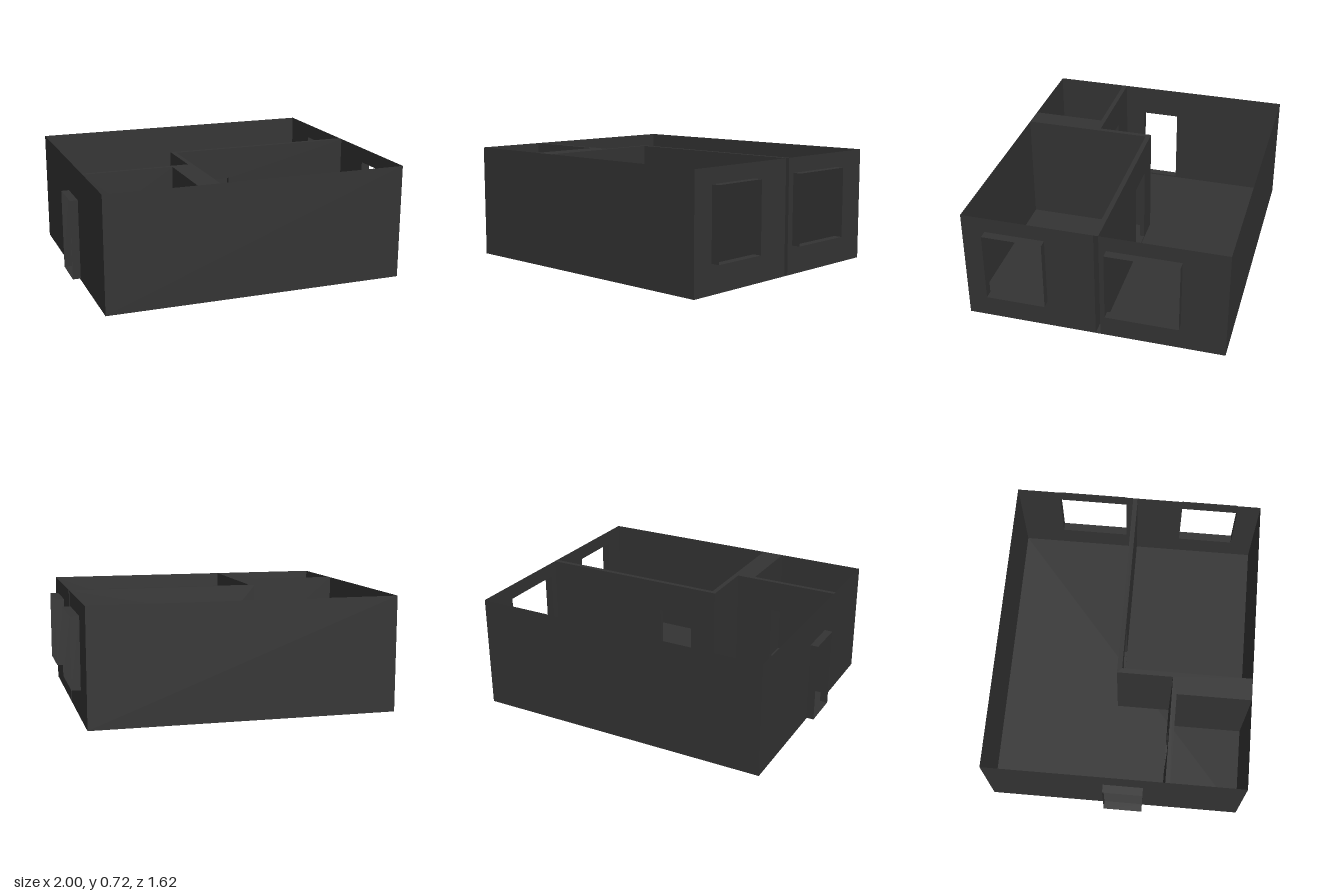
import * as THREE from 'three';

const H = 0.72;                                  // wall height
const X0 = -0.95, X1 = 0.945, Z0 = -0.81, Z1 = 0.805;
const DOOR = [0.01, 0.52], WINDOW = [0.18, 0.625]; // bottom and top of openings

export function createModel() {
  const model = new THREE.Group();
  const mat = new THREE.MeshStandardMaterial({ color: 0x333333, side: THREE.DoubleSide });

  function add(parent, name, geometry) {
    const mesh = new THREE.Mesh(geometry, mat);
    mesh.name = name;
    parent.add(mesh);
    return mesh;
  }

  // Thin wall from (xa, za) to (xb, zb). An opening runs from u0 to u1 along the
  // wall; its lining reaches "depth" out from the wall face.
  function wall(name, [xa, za], [xb, zb], opening) {
    const group = new THREE.Group();
    group.name = name;
    group.position.set(xa, 0, za);
    group.rotation.y = Math.atan2(za - zb, xb - xa);
    const length = Math.hypot(xb - xa, zb - za);
    const shape = new THREE.Shape([[0, 0], [length, 0], [length, H], [0, H]].map(p => new THREE.Vector2(...p)));
    if (opening) {
      const { u: [u0, u1], v: [v0, v1], depth = 0, part } = opening;
      shape.holes.push(new THREE.Path([[u0, v0], [u0, v1], [u1, v1], [u1, v0]].map(p => new THREE.Vector2(...p))));
      if (depth) {
        const d = Math.abs(depth);
        for (const v of [v0, v1]) {
          add(group, part, new THREE.PlaneGeometry(u1 - u0, d).rotateX(-Math.PI / 2)
            .translate((u0 + u1) / 2, v, depth / 2));
        }
        for (const u of [u0, u1]) {
          add(group, part, new THREE.PlaneGeometry(d, v1 - v0).rotateY(Math.PI / 2)
            .translate(u, (v0 + v1) / 2, depth / 2));
        }
      }
    }
    add(group, name + 'Panel', new THREE.ShapeGeometry(shape));
    model.add(group);
  }

  // Horizontal surface from an outline of x, z points
  function slab(name, points, y) {
    const shape = new THREE.Shape(points.map(([x, z]) => new THREE.Vector2(x, -z)));
    add(model, name, new THREE.ShapeGeometry(shape).rotateX(-Math.PI / 2)).position.y = y;
  }

  // Floor and outer walls
  slab('floor', [[X0, Z1], [X1, Z1], [X1, Z0], [X0, Z0]], 0);
  wall('frontWall', [X0, Z1], [X1, Z1]);
  wall('backWall', [X1, Z0], [X0, Z0]);
  wall('leftFrontWall', [X1, Z1], [X1, -0.01],
    { u: [0.145, 0.515], v: WINDOW, depth: 0.055, part: 'windowFrame' });
  wall('leftBackWall', [X1, -0.04], [X1, Z0],
    { u: [0.045, 0.495], v: WINDOW, depth: 0.055, part: 'windowFrame' });
  wall('entranceWall', [X0, Z0], [X0, Z1],
    { u: [0.74, 0.99], v: DOOR, depth: 0.05, part: 'entranceFrame' });

  // Partition of the large front room
  wall('largeRoomBack', [-0.25, -0.01], [X1, -0.01],
    { u: [0.14, 0.365], v: DOOR, depth: -0.03, part: 'doorLining' });
  wall('largeRoomSide', [-0.25, Z1], [-0.25, -0.01]);

  // Partition of the small front room
  wall('smallRoomBack', [X0, 0.34], [-0.39, 0.34],
    { u: [0.24, 0.42], v: DOOR, depth: -0.03, part: 'doorLining' });
  wall('smallRoomSide', [-0.39, 0.34], [-0.39, Z1]);

  // Partition faces towards the back hall
  wall('hallWall', [-0.28, -0.04], [X1, -0.04], { u: [0.17, 0.395], v: DOOR });
  wall('hallSide', [-0.28, -0.04], [-0.28, 0.31]);
  wall('hallSmallRoomWall', [X0, 0.31], [-0.28, 0.31], { u: [0.24, 0.42], v: DOOR });

  // Top of the partitions
  slab('partitionTop', [[X1, -0.04], [-0.28, -0.04], [-0.28, 0.31], [X0, 0.31], [X0, 0.34],
    [-0.39, 0.34], [-0.39, Z1], [-0.25, Z1], [-0.25, -0.01], [X1, -0.01]], H);

  return model;
}
